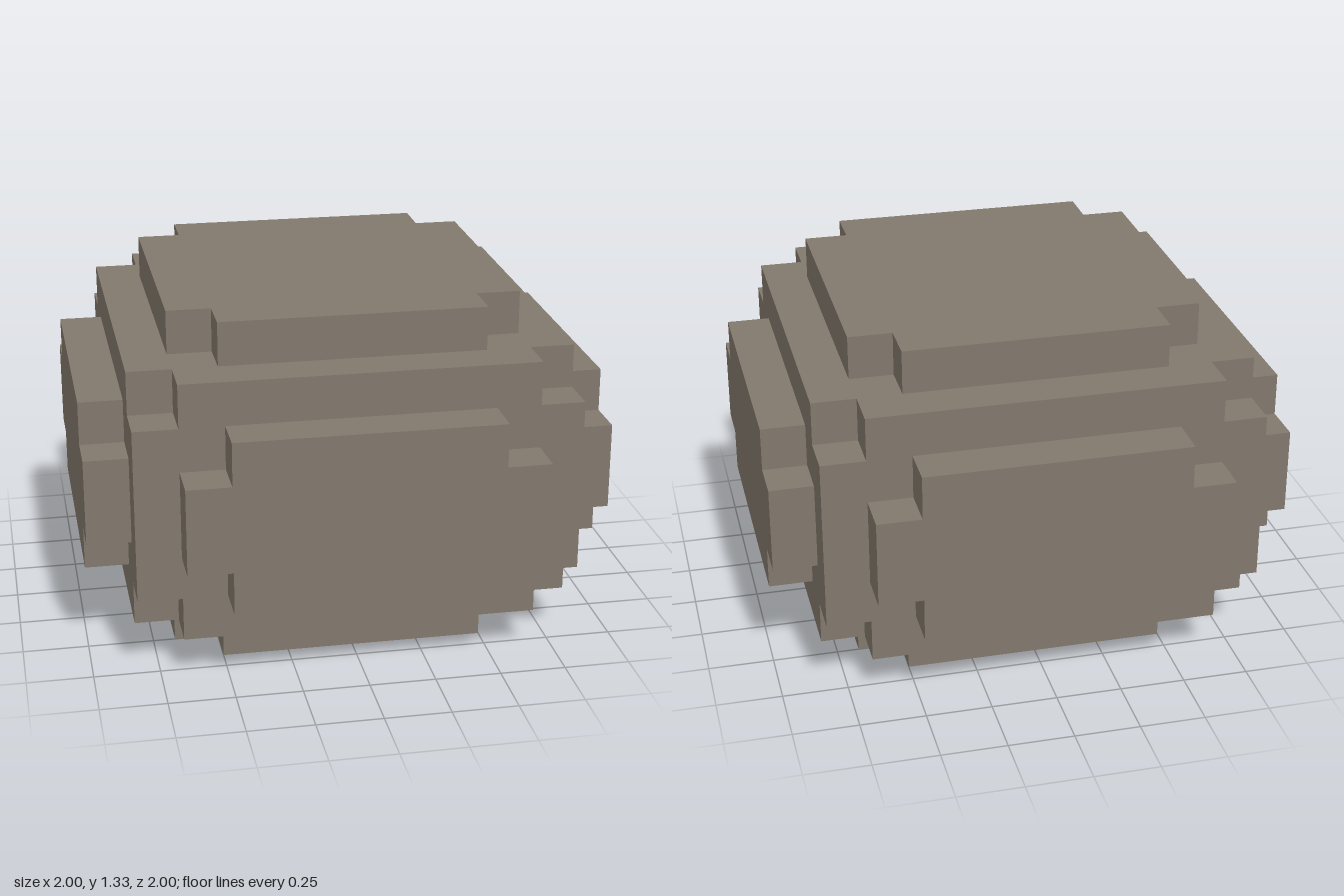
import * as THREE from 'three';

const U = 1 / 6; // one block unit

// Rectangle w x h (in units) with a one-unit square cut from each corner, extruded one unit
function notchedSlab(w, h) {
  const a = (w / 2) * U, b = (h / 2) * U, c = a - U, d = b - U;
  const shape = new THREE.Shape([
    [c, -b], [c, -d], [a, -d], [a, d], [c, d], [c, b],
    [-c, b], [-c, d], [-a, d], [-a, -d], [-c, -d], [-c, -b],
  ].map(([x, y]) => new THREE.Vector2(x, y)));
  return new THREE.ExtrudeGeometry(shape, { depth: U, bevelEnabled: false });
}

export function createModel() {
  const model = new THREE.Group();
  const stone = new THREE.MeshStandardMaterial({ color: 0x82796d });
  stone.name = 'stone';

  const add = (name, geometry) => {
    const mesh = new THREE.Mesh(geometry, stone);
    mesh.name = name;
    model.add(mesh);
    return mesh;
  };

  // Middle of the body
  add('bodyCore', new THREE.BoxGeometry(10 * U, 4 * U, 10 * U)).position.y = 4 * U;

  // Notched layers and caps stacked above and below the middle
  for (const [side, s] of [['upper', 1], ['lower', -1]]) {
    for (const [part, size, start] of [['BodyLayer', 10, 2], ['Cap', 8, 3]]) {
      const slab = add(side + part, notchedSlab(size, size));
      slab.rotation.x = -s * Math.PI / 2;
      slab.position.y = (4 + s * start) * U;
    }
  }

  // Raised plate on each of the four sides
  ['front', 'left', 'back', 'right'].forEach((side, i) => {
    const angle = i * Math.PI / 2;
    const plate = add(side + 'Plate', notchedSlab(8, 4));
    plate.rotation.y = angle;
    plate.position.set(Math.sin(angle) * 5 * U, 4 * U, Math.cos(angle) * 5 * U);
  });

  return model;
}
